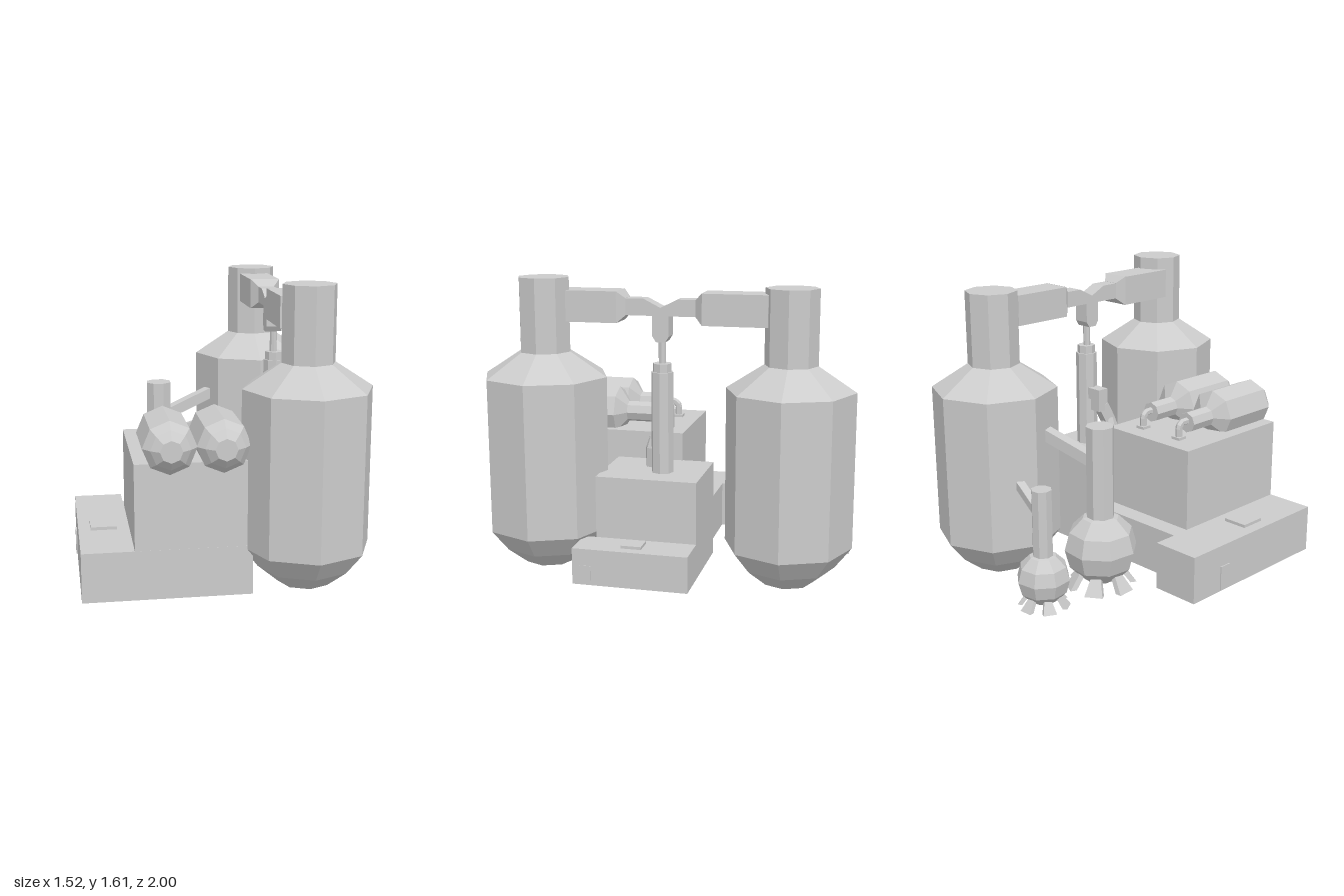
import * as THREE from 'three';

const material = new THREE.MeshStandardMaterial({ color: 0xcccccc, flatShading: true });

function add(parent, name, geometry, x = 0, y = 0, z = 0) {
  const mesh = new THREE.Mesh(geometry, material);
  mesh.name = name;
  mesh.position.set(x, y, z);
  parent.add(mesh);
  return mesh;
}

// Box given by its limits on each axis
function block(parent, name, [x0, x1], [y0, y1], [z0, z1]) {
  return add(parent, name, new THREE.BoxGeometry(x1 - x0, y1 - y0, z1 - z0),
    (x0 + x1) / 2, (y0 + y1) / 2, (z0 + z1) / 2);
}

// Upright cylinder between two heights
function post(parent, name, r0, r1, y0, y1, x, z, sides = 8) {
  return add(parent, name, new THREE.CylinderGeometry(r1, r0, y1 - y0, sides), x, (y0 + y1) / 2, z);
}

// Square bar between two points
function bar(parent, name, a, b, width) {
  const from = new THREE.Vector3(...a), to = new THREE.Vector3(...b);
  const mesh = add(parent, name, new THREE.BoxGeometry(width, width, from.distanceTo(to)));
  mesh.position.copy(from).lerp(to, 0.5);
  mesh.lookAt(to);
  return mesh;
}

// Eight-sided bottle-shaped tank standing on its own origin
const tankProfile = [[0, 0], [0.14, 0], [0.25, 0.09], [0.34, 0.205], [0.34, 1.035],
  [0.14, 1.165], [0.14, 1.56], [0, 1.56]].map(p => new THREE.Vector2(...p));
const tankGeometry = new THREE.LatheGeometry(tankProfile, 8);

// Round flask with flared feet, a tall neck and a rising side arm
function flask(parent, name, x, y, z, size, armAngle, armLength) {
  const g = new THREE.Group();
  g.name = name;
  add(g, 'flaskBulb', new THREE.SphereGeometry(0.2, 8, 6), 0, 0.215, 0);
  post(g, 'flaskNeck', 0.076, 0.076, 0.36, 0.9, 0, 0);
  bar(g, 'flaskArm', [0, 0.685, 0], [armLength, 0.82, 0], 0.062);
  for (let i = 0; i < 6; i++) {
    const foot = new THREE.Group();
    foot.name = 'flaskFoot';
    foot.rotation.y = i * Math.PI / 3 + 0.3;
    const geo = new THREE.BoxGeometry(0.05, 0.09, 0.035);
    const p = geo.attributes.position;
    for (let k = 0; k < p.count; k++) {
      const low = p.getY(k) < 0;
      p.setX(k, p.getX(k) * (low ? 2 : 1));
      p.setZ(k, p.getZ(k) + (low ? 0.17 : 0.105));
    }
    add(foot, 'footWedge', geo, 0, 0.045, 0);
    g.add(foot);
  }
  g.position.set(x, y, z);
  g.scale.setScalar(size);
  g.rotation.y = armAngle;
  parent.add(g);
}

export function createModel() {
  const model = new THREE.Group();
  model.name = 'processingPlant';

  // Main housing with a low side wing
  block(model, 'sideWing', [-0.755, -0.485], [0.01, 0.275], [-0.27, 0.715]);
  block(model, 'housingBase', [-0.485, 0.128], [0.01, 0.275], [-0.135, 0.715]);
  block(model, 'housingTop', [-0.482, 0.125], [0.275, 0.73], [-0.03, 0.714]);
  block(model, 'wingHatch', [-0.69, -0.55], [0.27, 0.292], [0.215, 0.36]);
  block(model, 'wingDoor', [-0.762, -0.75], [0.02, 0.155], [-0.06, 0.01]);

  // Second housing under the central column
  block(model, 'columnHousing', [0.12, 0.555], [0.045, 0.575], [-0.205, 0.342]);
  block(model, 'lowHousing', [0.555, 0.755], [0.045, 0.24], [-0.205, 0.412]);
  block(model, 'lowHatch', [0.6, 0.7], [0.235, 0.255], [0.055, 0.165]);
  block(model, 'lowDoor', [0.75, 0.758], [0.05, 0.15], [0.31, 0.37]);
  post(model, 'drain', 0.04, 0.04, 0.035, 0.05, 0.375, 0.04);

  // Large upright tanks
  add(model, 'frontTank', tankGeometry, 0.413, 0.05, 0.655);
  add(model, 'backTank', tankGeometry, 0.363, 0.015, -0.66);

  // Overhead ducts meeting in a yoke
  const cx = 0.36, cz = 0.022;
  for (const s of [1, -1]) {
    const ends = [cz + s * 0.228, cz + s * 0.57].sort((a, b) => a - b);
    block(model, 'duct', [cx - 0.083, cx + 0.083], [1.378, 1.543], ends);
    const taper = new THREE.CylinderGeometry(0.083 * Math.SQRT2, 0.045 * Math.SQRT2, 0.04, 4);
    taper.rotateY(Math.PI / 4).rotateX(s * Math.PI / 2);
    add(model, 'ductTaper', taper, cx, 1.461, cz + s * 0.208);
  }
  const half = [[0.19, 1.505], [0.09, 1.505], [0, 1.46]];
  const under = [[0.19, 1.417], [0.044, 1.417], [0.044, 1.31], [0.025, 1.28]];
  const outline = [...half, ...half.slice(0, 2).reverse().map(([a, b]) => [-a, b]),
    ...under.map(([a, b]) => [-a, b]), ...under.slice().reverse()];
  const yoke = new THREE.ExtrudeGeometry(new THREE.Shape(outline.map(p => new THREE.Vector2(...p))),
    { depth: 0.09, bevelEnabled: false });
  yoke.rotateY(-Math.PI / 2);
  add(model, 'ductYoke', yoke, cx + 0.045, 0, cz);

  // Central column
  post(model, 'columnBody', 0.06, 0.06, 0.57, 1.12, 0.37, cz);
  post(model, 'columnCap', 0.05, 0.05, 1.11, 1.165, 0.37, cz);
  post(model, 'columnPipe', 0.02, 0.02, 1.16, 1.29, 0.365, cz);

  // Bent side duct beside the column
  post(model, 'sideCanister', 0.055, 0.055, 0.57, 0.68, 0.255, 0.09);
  post(model, 'sideCanisterTop', 0.055, 0.035, 0.68, 0.74, 0.255, 0.088);
  bar(model, 'sideSlant', [0.257, 0.72, 0.085], [0.265, 0.82, 0.035], 0.065);
  block(model, 'sideRiser', [0.232, 0.3], [0.79, 0.92], [-0.01, 0.058]);
  block(model, 'sideElbow', [0.3, 0.36], [0.855, 0.92], [-0.01, 0.058]);

  // Two small tanks lying on the main housing, with drop pipes
  for (const x of [-0.3, -0.025]) {
    const tank = add(model, 'lyingTank', tankGeometry, x, 0.81, 0.8);
    tank.rotation.x = -Math.PI / 2;
    tank.scale.setScalar(0.412);
    const path = new THREE.CurvePath();
    const pts = [[0.17, 0.82], [0.115, 0.82], [0.095, 0.8], [0.095, 0.72]]
      .map(([z, y]) => new THREE.Vector3(x, y, z));
    for (let i = 0; i < 3; i++) path.add(new THREE.LineCurve3(pts[i], pts[i + 1]));
    add(model, 'dropPipe', new THREE.TubeGeometry(path, 12, 0.02, 6));
    block(model, 'pipeFlange', [x - 0.028, x + 0.028], [0.725, 0.745], [0.067, 0.123]);
  }

  // Round flasks feeding the back tank
  flask(model, 'largeFlask', -0.235, 0.015, -0.445, 1, 0.29, 0.37);
  flask(model, 'smallFlask', -0.185, 0, -0.81, 0.72, -0.25, 0.38);

  return model;
}
